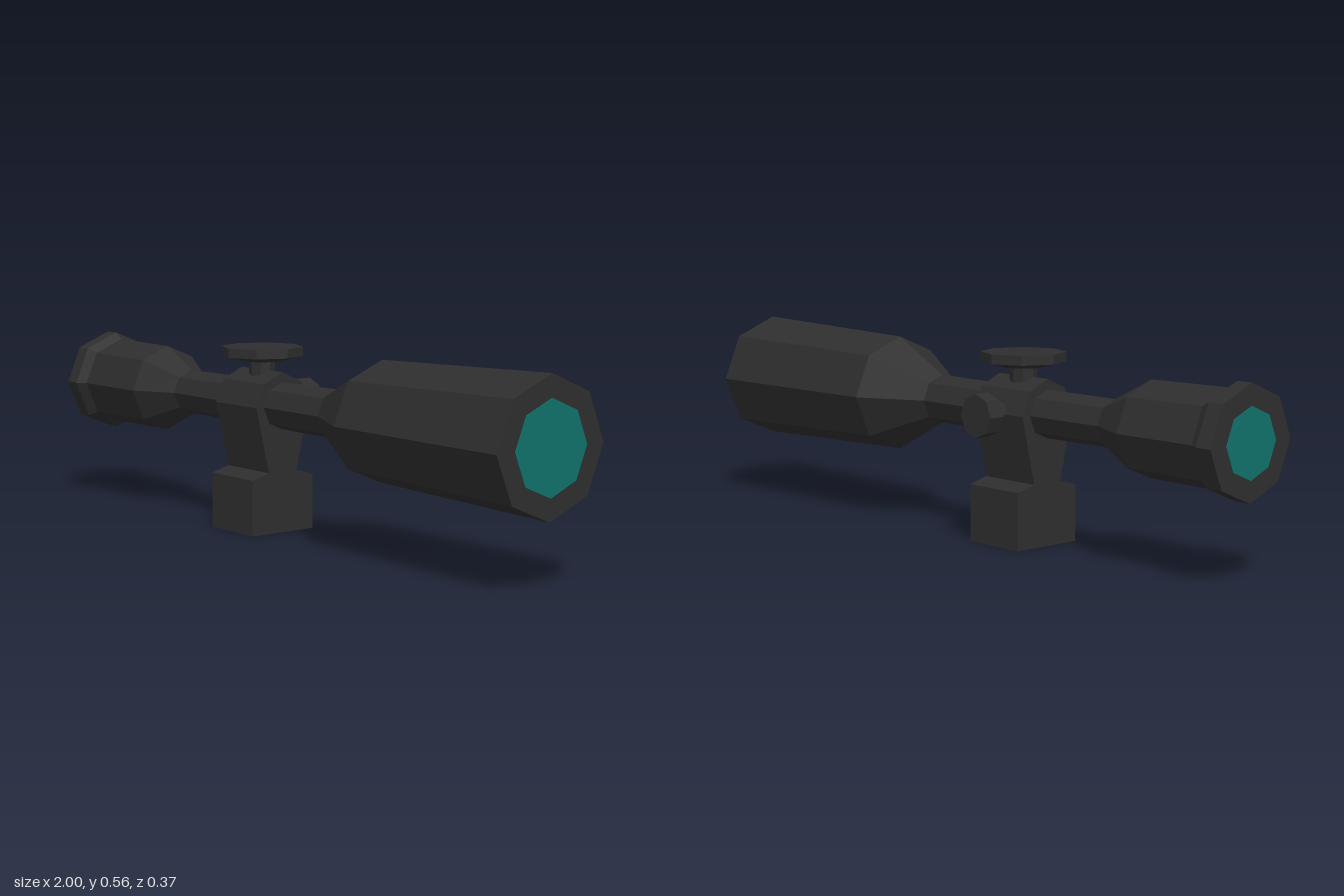
import * as THREE from 'three';

const AXIS_Y = 0.37;   // height of the tube axis
const MOUNT_X = -0.175; // centre of the mount and knobs

const body = new THREE.MeshStandardMaterial({ color: 0x2e2e2e, flatShading: true });
body.name = 'matte black';
const glass = new THREE.MeshStandardMaterial({ color: 0x10726b, flatShading: true });
glass.name = 'teal glass';

// Eight-sided turned part; profile is [radius, height] from bottom to top
function turned(name, profile) {
  const points = profile.map(([r, h]) => new THREE.Vector2(r, h));
  const mesh = new THREE.Mesh(new THREE.LatheGeometry(points, 8), body);
  mesh.name = name;
  return mesh;
}

// Thin eight-sided glass disc facing along x
function lens(name, radius, x) {
  const geometry = new THREE.CylinderGeometry(radius, radius, 0.004, 8);
  geometry.rotateZ(-Math.PI / 2);
  const mesh = new THREE.Mesh(geometry, glass);
  mesh.name = name;
  mesh.position.set(x, AXIS_Y, 0);
  return mesh;
}

export function createModel() {
  const model = new THREE.Group();
  model.name = 'scope';

  // Main tube: eyepiece, narrow middle and wide objective bell
  const tube = turned('tube', [
    [0, -0.998], [0.152, -0.998], [0.152, -0.95], [0.133, -0.92], [0.13, -0.66],
    [0.066, -0.53], [0.07, 0.17], [0.168, 0.36], [0.186, 0.998], [0, 0.998],
  ]);
  tube.geometry.rotateZ(-Math.PI / 2);
  tube.position.y = AXIS_Y;
  model.add(tube);
  model.add(lens('objectiveLens', 0.125, 0.998), lens('eyepieceLens', 0.094, -0.998));

  // Mount: block base, flared post and ring in one cross-section
  const half = [[0.11, 0], [0.11, 0.162], [0.05, 0.178], [0.095, AXIS_Y], [0.067, 0.437]];
  const outline = [...half, [0, 0.467], ...half.map(([z, y]) => [-z, y]).reverse()];
  const shape = new THREE.Shape(outline.map(([z, y]) => new THREE.Vector2(z, y)));
  const mountGeometry = new THREE.ExtrudeGeometry(shape, { depth: 0.196, bevelEnabled: false });
  mountGeometry.translate(0, 0, -0.098);
  mountGeometry.rotateY(Math.PI / 2);
  const mount = new THREE.Mesh(mountGeometry, body);
  mount.name = 'mount';
  mount.position.x = MOUNT_X;
  model.add(mount);

  // Top adjustment turret
  const turret = turned('topTurret', [
    [0.038, 0.44], [0.038, 0.492], [0.065, 0.494], [0.12, 0.508], [0.12, 0.535], [0, 0.535],
  ]);
  turret.position.x = MOUNT_X;
  model.add(turret);

  // Side adjustment knob, pointing to the back
  const knob = turned('sideKnob', [
    [0.03, 0.06], [0.03, 0.112], [0.061, 0.13], [0.061, 0.178], [0, 0.178],
  ]);
  knob.geometry.rotateX(-Math.PI / 2);
  knob.position.set(MOUNT_X, AXIS_Y, 0);
  model.add(knob);

  return model;
}
